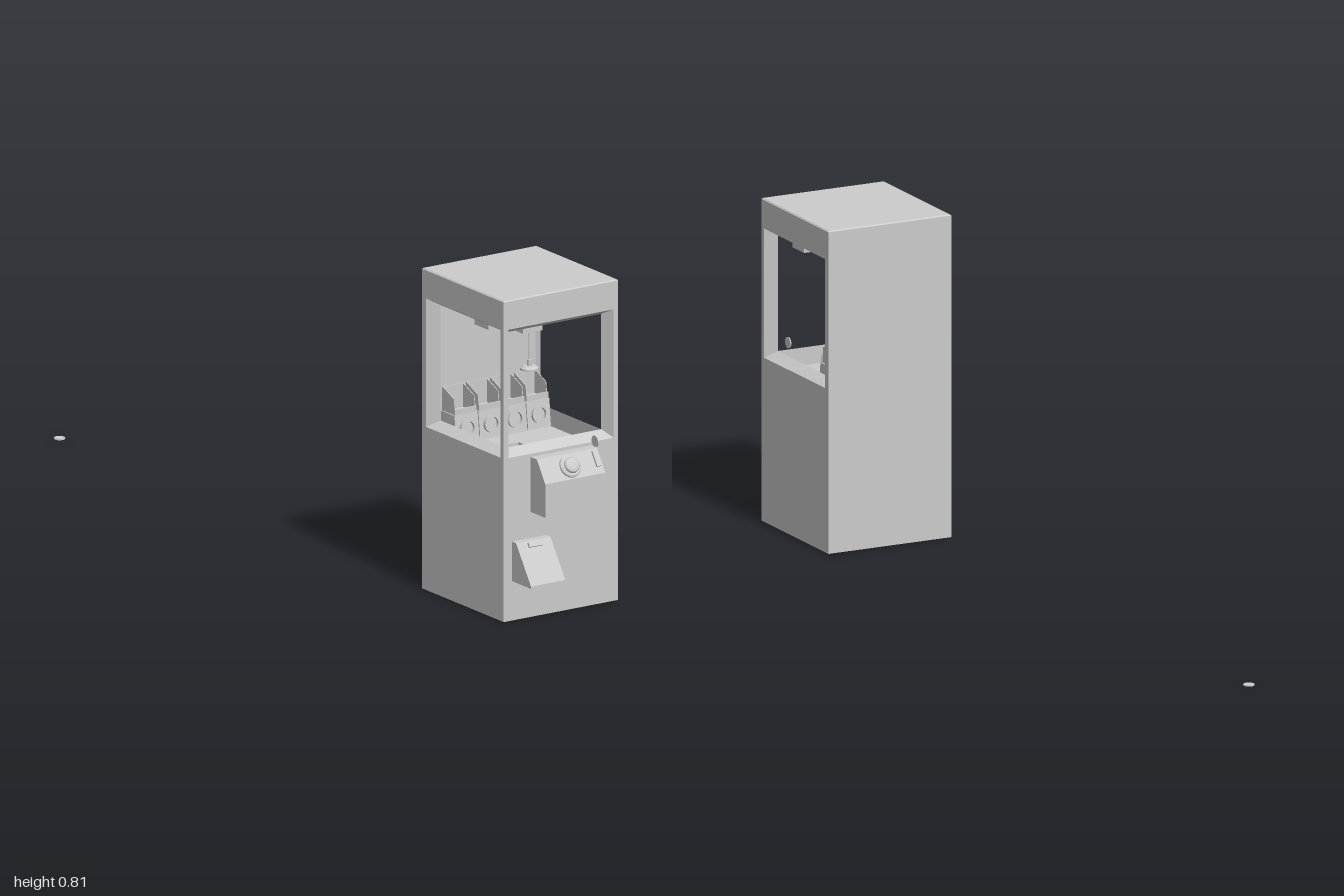
import * as THREE from 'three';

const mat = new THREE.MeshStandardMaterial({ color: 0xcccccc, flatShading: true, side: THREE.DoubleSide });
const smooth = new THREE.MeshStandardMaterial({ color: 0xcccccc, side: THREE.DoubleSide });
const CX = 0.0075; // centre line of the cabinet

function add(parent, name, geo, x = 0, y = 0, z = 0, material = mat) {
  const m = new THREE.Mesh(geo, material);
  m.name = name;
  m.position.set(x, y, z);
  parent.add(m);
  return m;
}

// box given by its limits
function block(parent, name, x0, x1, y0, y1, z0, z1) {
  return add(parent, name, new THREE.BoxGeometry(x1 - x0, y1 - y0, z1 - z0),
    (x0 + x1) / 2, (y0 + y1) / 2, (z0 + z1) / 2);
}

const shapeOf = (pts) => new THREE.Shape(pts.map(([a, b]) => new THREE.Vector2(a, b)));

// [z, y] profile extruded along x
function extrudeX(pts, x0, x1) {
  const g = new THREE.ExtrudeGeometry(shapeOf(pts), { depth: x1 - x0, bevelEnabled: false });
  return g.rotateY(-Math.PI / 2).translate(x1, 0, 0);
}

// [x, z] plan extruded upwards
function extrudeY(pts, y0, y1) {
  const g = new THREE.ExtrudeGeometry(shapeOf(pts.map(([x, z]) => [x, -z])), { depth: y1 - y0, bevelEnabled: false });
  return g.rotateX(-Math.PI / 2).translate(0, y0, 0);
}

// rectangular ring; the height may differ between front and back
const ring = (x0, x1, z0, z1, y, yBack = y) =>
  [[x0, y, z1], [x1, y, z1], [x1, yBack, z0], [x0, yBack, z0]];

// skin through four-cornered rings, bottom to top
function loft(rings, capBottom, capTop) {
  const v = [];
  const quad = (a, b, c, d) => v.push(...a, ...b, ...c, ...a, ...c, ...d);
  for (let i = 0; i + 1 < rings.length; i++) {
    for (let j = 0; j < 4; j++) {
      const k = (j + 1) % 4;
      quad(rings[i][j], rings[i][k], rings[i + 1][k], rings[i + 1][j]);
    }
  }
  const first = rings[0], last = rings[rings.length - 1];
  if (capBottom) quad(first[3], first[2], first[1], first[0]);
  if (capTop) quad(last[0], last[1], last[2], last[3]);
  const g = new THREE.BufferGeometry();
  g.setAttribute('position', new THREE.Float32BufferAttribute(v, 3));
  g.computeVertexNormals();
  return g;
}

const lathe = (pts, n = 32) => new THREE.LatheGeometry(pts.map(([r, y]) => new THREE.Vector2(r, y)), n);

export function createModel() {
  const root = new THREE.Group();
  root.name = 'clawMachine';
  const X0 = -0.161, X1 = 0.176, Z0 = 0.567, Z1 = 0.918; // outside
  const x0 = -0.133, x1 = 0.146, z0 = 0.606, z1 = 0.888; // play space
  const outer = (y, d = 0) => ring(X0 + d, X1 - d, Z0 + d, Z1 - d, y);
  const inner = (y) => ring(x0, x1, z0, z1, y);
  const floorY = 0.385;

  // cabinet: open-bottomed base with sloping sill, and roof with bevelled header
  const cabinet = new THREE.Group();
  cabinet.name = 'cabinet';
  root.add(cabinet);
  add(cabinet, 'base', loft([outer(0), outer(0.413), inner(0.43), inner(floorY)], false, false));
  add(cabinet, 'roof', loft([inner(0.722), outer(0.738), outer(0.809), outer(0.812, 0.003)], true, true));
  add(cabinet, 'backWall', extrudeY([[X0, Z0], [X1, Z0], [X1, 0.584], [x1, z0], [x0, z0], [X0, 0.584]], 0.413, 0.738));
  for (const s of [-1, 1]) {
    const p = (dx, z) => [CX + s * dx, z];
    add(cabinet, 'frontPost', extrudeY([p(0.1685, Z1), p(0.1545, Z1), p(0.139, z1), p(0.1685, 0.904)], 0.413, 0.738));
  }

  // floor with an opening for the prize chute
  const cx0 = -0.133, cx1 = -0.036, cz0 = 0.8;
  const floor = shapeOf([[x0, -z0], [x1, -z0], [x1, -z1], [cx1, -z1], [cx1, -cz0], [x0, -cz0]]);
  add(root, 'floor', new THREE.ShapeGeometry(floor).rotateX(-Math.PI / 2), 0, floorY, 0);
  add(root, 'prizeChute', loft([
    ring(cx0, cx1, cz0, 0.916, 0.1, 0.136), ring(cx0, cx1, cz0, 0.916, 0.37),
    ring(cx0, cx1, cz0, z1, floorY), ring(cx0, cx1, cz0, z1, 0.406)], true, false));

  // prize door at the bottom of the chute
  const door = new THREE.Group();
  door.name = 'prizeDoor';
  root.add(door);
  add(door, 'hood', extrudeX([[Z1, 0.1], [1, 0.1], [1, 0.106], [0.936, 0.2], [Z1, 0.2]], -0.137, -0.036));
  const handle = add(door, 'doorHandle', new THREE.BoxGeometry(0.04, 0.012, 0.008), -0.086, 0.191, 0.943);
  handle.rotation.x = -0.6;

  // control box with sloping panel, button, coin slot and coin
  const controls = new THREE.Group();
  controls.name = 'controls';
  root.add(controls);
  add(controls, 'controlBox', extrudeX([[Z1, 0.266], [0.981, 0.266], [0.981, 0.351], [0.945, 0.405], [Z1, 0.405]], -0.082, 0.095));
  const panel = new THREE.Group();
  panel.name = 'controlPanel';
  panel.position.set(0, 0.378, 0.963);
  panel.rotation.x = Math.atan2(0.054, 0.036);
  controls.add(panel);
  add(panel, 'buttonCollar', lathe([[0.029, 0], [0.029, 0.004], [0.025, 0.007], [0.02, 0.007]]), 0.003);
  add(panel, 'button', lathe([[0.02, 0.004], [0.02, 0.011], [0.017, 0.014], [0.009, 0.016], [0, 0.0165]]), 0.003, 0, 0, smooth);
  add(panel, 'coinSlot', new THREE.BoxGeometry(0.012, 0.006, 0.04), 0.0815, 0.002, -0.006);
  const coinGeo = new THREE.CylinderGeometry(0.014, 0.014, 0.003, 24);
  add(controls, 'coin', coinGeo, 0.083, 0.427, 0.955).rotation.z = Math.PI / 2;
  add(root, 'looseCoin', coinGeo, -0.164, 0.0015, -0.986);

  // claw hanging from a cross rail
  const claw = new THREE.Group();
  claw.name = 'claw';
  root.add(claw);
  const cz = 0.782;
  block(claw, 'rail', x0, x1, 0.709, 0.7225, cz - 0.03, cz + 0.03);
  block(claw, 'carriage', -0.0215, 0.0355, 0.677, 0.716, cz - 0.015, cz + 0.015);
  for (const dx of [-0.017, 0.017]) {
    add(claw, 'wheel', new THREE.CylinderGeometry(0.006, 0.006, 0.064, 16).rotateX(Math.PI / 2), CX + dx, 0.711, cz);
  }
  add(claw, 'cable', new THREE.CylinderGeometry(0.002, 0.002, 0.085, 12), CX, 0.637, cz);
  add(claw, 'suctionCup', lathe([[0, 0.579], [0.023, 0.579], [0.023, 0.584], [0.015, 0.589],
    [0.006, 0.589], [0.006, 0.604], [0, 0.604]], 24), CX, 0, cz);

  // four prize bins along the back wall
  for (let i = 0; i < 4; i++) {
    const bin = new THREE.Group();
    bin.name = 'prizeBin';
    bin.position.x = -0.098 + i * 0.0703;
    root.add(bin);
    add(bin, 'binBase', extrudeX([[z0, floorY], [0.673, floorY], [0.664, 0.455], [z0, 0.455]], -0.034, 0.034));
    block(bin, 'binLip', -0.032, 0.032, 0.455, 0.47, 0.659, 0.663);
    block(bin, 'binBack', -0.029, 0.029, 0.455, 0.515, z0, 0.609);
    for (const s of [-1, 1]) {
      const side = extrudeX([[z0, 0.455], [0.662, 0.455], [0.656, 0.495], [0.609, 0.515], [z0, 0.515]], -0.001, 0.001);
      add(bin, 'binSide', side, s * 0.0295);
    }
    const hoop = add(bin, 'binRing', lathe([[0.017, 0], [0.017, 0.008], [0.022, 0.008], [0.022, 0]], 24), 0, 0.42, 0.668);
    hoop.rotation.x = Math.PI / 2 - 0.13;
  }
  return root;
}
